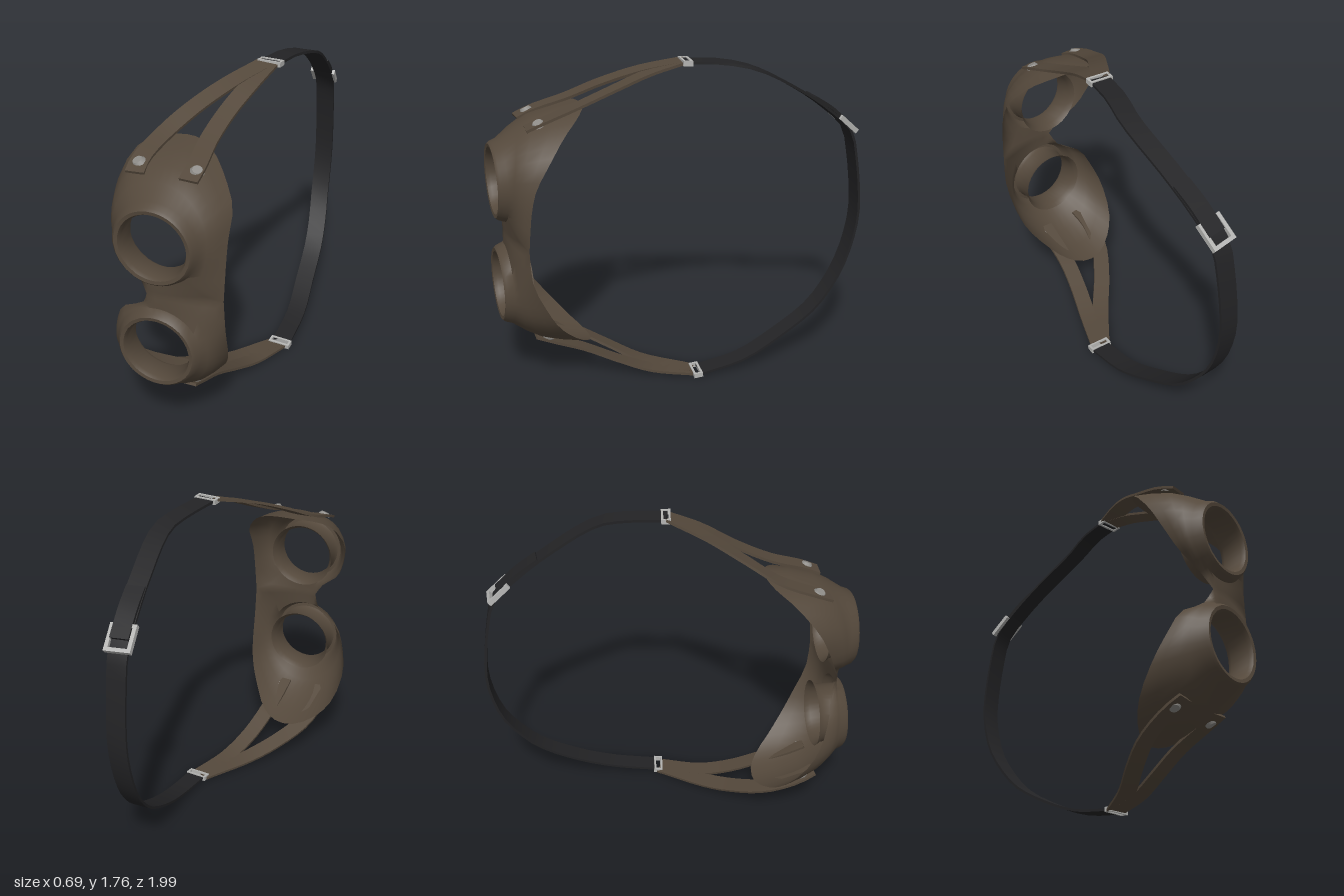
import * as THREE from 'three';
import { mergeGeometries, toCreasedNormals } from 'three/addons/utils/BufferGeometryUtils.js';

const V = (x, y, z) => new THREE.Vector3(x, y, z);
const mat = (name, color, extra = {}) => Object.assign(new THREE.MeshStandardMaterial({ color, ...extra }), { name });

// Skin rows of points, each row a closed loop
function loft(rows) {
  const n = rows[0].length, idx = [];
  for (let i = 0; i < rows.length - 1; i++) {
    for (let j = 0; j < n; j++) {
      const k = (j + 1) % n;
      const a = i * n + j, b = a + n, c = (i + 1) * n + k, d = i * n + k;
      idx.push(a, b, c, a, c, d);
    }
  }
  const g = new THREE.BufferGeometry().setFromPoints(rows.flat());
  g.setIndex(idx);
  return g;
}

// Orthonormal frame along a strap: side, tangent, normal
function frameAt(t) {
  const s = V(1, 0, 0).addScaledVector(t, -t.x).normalize();
  return { s, n: s.clone().cross(t).normalize() };
}

// Flat band of rectangular section following a smooth path
function ribbon(pts, width, thick, segs) {
  const curve = new THREE.CatmullRomCurve3(pts.map(p => V(...p)));
  const rows = [];
  for (let i = 0; i <= segs; i++) {
    const p = curve.getPointAt(i / segs), { s, n } = frameAt(curve.getTangentAt(i / segs));
    rows.push([[1, -1], [1, 1], [-1, 1], [-1, -1]].map(([a, b]) =>
      p.clone().addScaledVector(s, a * width / 2).addScaledVector(n, b * thick / 2)));
  }
  const cap = row => {
    const c = row.reduce((m, p) => m.add(p), V(0, 0, 0)).multiplyScalar(0.25);
    return row.map(() => c.clone());
  };
  rows.unshift(cap(rows[0]));
  rows.push(cap(rows[rows.length - 1]));
  return toCreasedNormals(loft(rows), 0.8);
}

// One eye cup: tube, rolled rim, collar and flared skin out to the edge
function eyeCup(cx, cy, edgePts, seam, flip) {
  const edge = new THREE.CatmullRomCurve3(edgePts.map(p => V(...p)), false, 'centripetal').getPoints(30);
  const bridge = new THREE.CatmullRomCurve3(seam.map(p => V(...p))).getPoints(8).slice(1, -1);
  const outer = edge.concat(bridge);
  if (flip) outer.reverse();
  const dirs = outer.map(p => V(p.x - cx, p.y - cy, 0).normalize());
  const ring = (r, z) => dirs.map(d => V(cx + d.x * r, cy + d.y * r, z));
  const collar = ring(0.218, 0.95);
  const flare = (t, k) => collar.map((p, j) => p.clone().lerp(outer[j], t)
    .addScaledVector(dirs[j], k * p.distanceTo(outer[j])));
  return loft([ring(0.188, 0.84), ring(0.168, 0.87), ring(0.165, 0.975), ring(0.175, 0.995),
    ring(0.193, 0.998), ring(0.205, 0.985), collar, flare(0.2, 0.06), flare(0.4, 0.09), flare(0.7, 0.06), outer]);
}

// Rectangular metal loop with an open middle
function metalLoop(w, h, bar, depth) {
  const rect = (o, a, b) => [[-a, -b], [a, -b], [a, b], [-a, b]].forEach(([x, y], i) => i ? o.lineTo(x, y) : o.moveTo(x, y));
  const shape = new THREE.Shape(), hole = new THREE.Path();
  rect(shape, w / 2, h / 2);
  rect(hole, w / 2 - bar, h / 2 - bar);
  shape.holes.push(hole);
  return new THREE.ExtrudeGeometry(shape, { depth, bevelEnabled: false }).translate(0, 0, -depth / 2);
}

export function createModel() {
  const group = new THREE.Group();
  const leather = mat('brown leather', 0x54483b, { side: THREE.DoubleSide });
  const webbing = mat('black webbing', 0x232325);
  const metal = mat('pale metal', 0xb4b4b2);
  const rivetMetal = mat('dull rivet metal', 0x8e8c88);
  const add = (name, geo, m) => {
    const mesh = new THREE.Mesh(geo, m);
    mesh.name = name;
    group.add(mesh);
    return mesh;
  };

  // Mask: two cups sharing a seam across the nose bridge
  const seam = [[-0.09, 0.88, 0.945], [0.02, 0.88, 0.945], [0.14, 0.88, 0.925], [0.28, 0.88, 0.88]];
  const upperEdge = [seam[3], [0.285, 1.08, 0.86], [0.285, 1.2, 0.83], [0.28, 1.32, 0.76], [0.2, 1.43, 0.66],
    [0.1, 1.5, 0.56], [0, 1.53, 0.51], [-0.1, 1.53, 0.51], [-0.2, 1.52, 0.54], [-0.28, 1.47, 0.62],
    [-0.325, 1.32, 0.75], [-0.3, 1.18, 0.82], [-0.25, 1.06, 0.87], [-0.15, 0.97, 0.91], seam[0]];
  const lowerEdge = [seam[3], [0.285, 0.7, 0.87], [0.27, 0.53, 0.8], [0.24, 0.42, 0.74], [0.17, 0.31, 0.65],
    [0.09, 0.23, 0.56], [0, 0.19, 0.51], [-0.12, 0.185, 0.51], [-0.25, 0.24, 0.58], [-0.325, 0.33, 0.66],
    [-0.35, 0.48, 0.77], [-0.32, 0.6, 0.83], [-0.26, 0.72, 0.87], [-0.13, 0.8, 0.91], seam[0]];
  const cups = mergeGeometries([
    eyeCup(-0.03, 1.17, upperEdge, seam, false),
    eyeCup(-0.03, 0.59, lowerEdge, seam, true)]);
  add('mask', toCreasedNormals(cups, 0.9), leather);

  // Forked leather straps on both sides
  const forks = {
    upperFrontStrap: [[-0.18, 1.455, 0.83], [-0.185, 1.49, 0.74], [-0.15, 1.545, 0.57], [-0.06, 1.63, 0.4], [0.06, 1.71, 0.22], [0.18, 1.765, 0.04]],
    upperBackStrap: [[0.09, 1.46, 0.83], [0.095, 1.495, 0.74], [0.085, 1.55, 0.57], [0.11, 1.63, 0.38], [0.16, 1.71, 0.21], [0.2, 1.765, 0.04]],
    lowerFrontStrap: [[-0.2, 0.31, 0.83], [-0.21, 0.265, 0.74], [-0.17, 0.185, 0.57], [-0.06, 0.11, 0.4], [0.08, 0.05, 0.23], [0.25, 0.03, 0]],
    lowerBackStrap: [[0.06, 0.3, 0.83], [0.065, 0.26, 0.74], [0.08, 0.19, 0.57], [0.12, 0.11, 0.4], [0.18, 0.05, 0.23], [0.27, 0.03, 0]],
  };
  for (const [name, pts] of Object.entries(forks)) add(name, ribbon(pts, 0.095, 0.014, 16), leather);

  // Rivets fixing the straps to the mask
  for (const [x, y, z, nx, ny] of [[-0.19, 1.487, 0.77, -0.3, 0.9], [0.11, 1.49, 0.77, 0.25, 0.9],
    [-0.21, 0.275, 0.77, -0.3, -0.9], [0.075, 0.27, 0.77, 0.25, -0.9]]) {
    const rivet = add('rivet', new THREE.CylinderGeometry(0.024, 0.036, 0.018, 12), rivetMetal);
    rivet.position.set(x, y, z);
    rivet.quaternion.setFromUnitVectors(V(0, 1, 0), V(nx, ny, 0.38).normalize());
  }

  // Long elastic head strap
  const head = [[0.2, 1.765, 0.03], [0.235, 1.757, -0.15], [0.28, 1.72, -0.32], [0.26, 1.57, -0.6], [0.24, 1.45, -0.77],
    [0.225, 1.33, -0.9], [0.22, 1.18, -0.945], [0.215, 0.86, -0.985], [0.215, 0.7, -0.965], [0.22, 0.55, -0.915],
    [0.235, 0.43, -0.84], [0.25, 0.3, -0.72], [0.265, 0.17, -0.5], [0.285, 0.08, -0.28], [0.28, 0.035, -0.03]];
  add('headStrap', ribbon(head, 0.105, 0.014, 36), webbing);
  // Doubled-over tail beside the buckle
  add('strapTail', ribbon([[0.255, 1.545, -0.655], [0.243, 1.475, -0.765], [0.23, 1.375, -0.88]], 0.1, 0.016, 6), webbing);

  // Buckle and the two joining loops
  for (const [name, p, t, w, h] of [
    ['buckle', [0.225, 1.375, -0.872], [-0.1, -0.65, -0.75], 0.14, 0.145],
    ['upperLoop', [0.2, 1.765, 0.025], [0.1, -0.05, -1], 0.125, 0.05],
    ['lowerLoop', [0.275, 0.033, -0.015], [0.1, 0.1, -1], 0.125, 0.05]]) {
    const dir = V(...t).normalize(), { s, n } = frameAt(dir);
    const loop = add(name, metalLoop(w, h, name === 'buckle' ? 0.02 : 0.012, 0.026), metal);
    loop.position.set(...p);
    loop.quaternion.setFromRotationMatrix(new THREE.Matrix4().makeBasis(s, dir, n));
  }
  return group;
}
